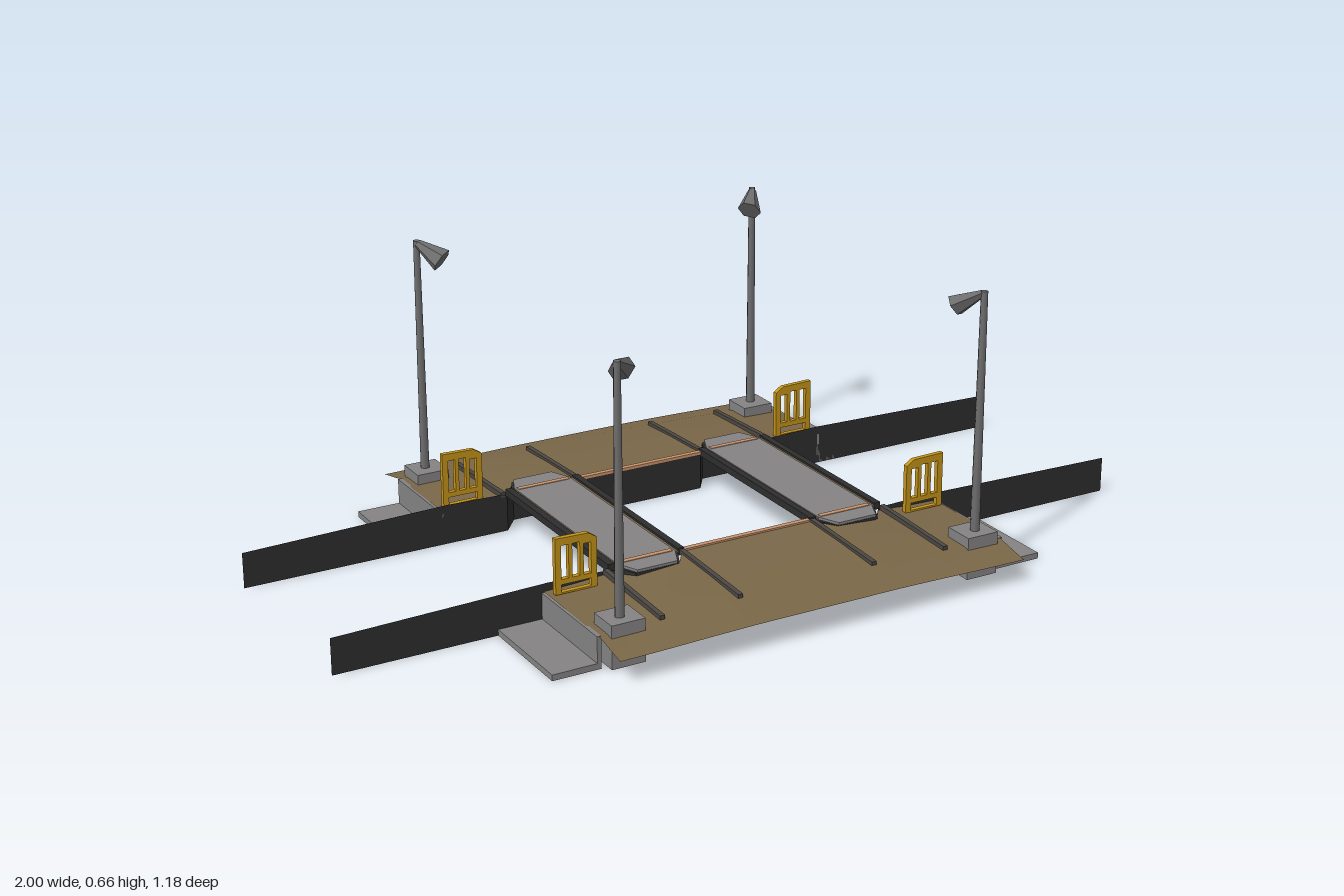
import * as THREE from 'three';

const mat = (name, color, extra = {}) => {
  const m = new THREE.MeshStandardMaterial({ color, ...extra });
  m.name = name;
  return m;
};
const both = { side: THREE.DoubleSide };

export function createModel() {
  const model = new THREE.Group();
  model.name = 'canalCrossing';
  const earth = mat('earth brown', 0x7a6748, both);
  const concrete = mat('concrete grey', 0x858383);
  const dark = mat('dark stone', 0x2e2e2e, both);
  const rail = mat('rail grey', 0x4c4843);
  const metal = mat('lamp grey', 0x6e6e6e);
  const yellow = mat('gate yellow', 0xc4931a);
  const edge = mat('edge orange', 0xc9936c);

  const add = (name, geo, m, parent = model) => {
    const mesh = new THREE.Mesh(geo, m);
    mesh.name = name;
    parent.add(mesh);
    return mesh;
  };
  // box given by its lower and upper corners
  const box = (name, m, a, b, parent) => {
    const lo = a.map((v, i) => Math.min(v, b[i])), hi = a.map((v, i) => Math.max(v, b[i]));
    const mesh = add(name, new THREE.BoxGeometry(...hi.map((v, i) => v - lo[i])), m, parent);
    mesh.position.set(...hi.map((v, i) => (v + lo[i]) / 2));
    return mesh;
  };

  // ground height: highest at the canal edge and midline, falling outwards
  const rows = [0.25, 0.38, 0.5, 0.59];
  const middle = [0.096, 0.091, 0.083, 0.061];
  const sides = [0.077, 0.076, 0.074, 0.055];
  const groundY = (x, row) => {
    const t = THREE.MathUtils.smoothstep(Math.abs(x), 0.15, 0.51);
    return middle[row] + (sides[row] - middle[row]) * t;
  };

  // surface from equal-length rows of points
  const sheet = (lines) => {
    const n = lines[0].length, idx = [];
    for (let r = 0; r < lines.length - 1; r++)
      for (let c = 0; c < n - 1; c++) {
        const a = r * n + c, b = a + n;
        idx.push(a, b, a + 1, a + 1, b, b + 1);
      }
    const g = new THREE.BufferGeometry();
    g.setAttribute('position', new THREE.Float32BufferAttribute(lines.flat(2), 3));
    g.setIndex(idx);
    g.computeVertexNormals();
    return g;
  };

  // half of the canal wall line, with a tapered recess behind each bridge end
  const halfWall = [[0.17, 0.25], [0.205, 0.3], [0.31, 0.3], [0.35, 0.25], [0.5, 0.25], [1, 0.25]];
  const wallLine = [...halfWall.map(([x, z]) => [-x, z]).reverse(), ...halfWall];
  const wallTop = (x) => (Math.abs(x) <= 0.35 ? 0.092 : Math.abs(x) < 0.9 ? 0.096 : 0.085);

  for (const sz of [1, -1]) {
    // banks, notched round the bridge ends
    const xs = [-0.51, -0.43, -0.35, -0.31, -0.205, -0.17, -0.08, 0, 0.08, 0.17, 0.205, 0.31, 0.35, 0.43, 0.51];
    const inner = (x) => (Math.abs(x) > 0.2 && Math.abs(x) < 0.32 ? 0.3 : 0.25);
    add('bank', sheet(rows.map((z, r) =>
      xs.map((x) => [x, groundY(x, r), sz * (r ? z : inner(x))]))), earth);

    // folded ground under the middle of each bank
    add('bankFold', sheet([[-0.08, 0.08], [0, 0.055], [0.08, 0.08]].map(([x, y]) =>
      [[x, y, sz * 0.3], [x, y - 0.004, sz * 0.47]])).toNonIndexed(), earth)
      .geometry.computeVertexNormals();

    const wall = sheet([
      wallLine.map(([x, z]) => [x, 0, sz * z]),
      wallLine.map(([x, z]) => [x, wallTop(x), sz * z]),
    ]).toNonIndexed();
    wall.computeVertexNormals();
    add('canalWall', wall, dark);

    box('edgeStrip', edge, [-0.17, 0.092, sz * 0.237], [0.17, 0.1, sz * 0.25]);

    for (const sx of [1, -1]) {
      // retaining wall and low landing
      box('retainingWall', concrete, [sx * 0.505, 0, sz * 0.25], [sx * 0.515, 0.075, sz * 0.5]);
      box('landing', concrete, [sx * 0.515, 0, sz * 0.25], [sx * 0.62, 0.014, sz * 0.5]);

      // rails leading from the bridge across the bank
      for (const [x, y] of [[0.17, 0.091], [0.36, 0.086]]) {
        const r = box('bankRail', rail, [sx * x - 0.006, y - 0.006, sz * 0.25],
          [sx * x + 0.006, y + 0.006, sz * 0.5]);
        r.rotation.x = sz * 0.04;
      }
      addLamp(sx, sz);
      addGate(sx, sz);
    }
  }

  function addLamp(sx, sz) {
    const lamp = new THREE.Group();
    lamp.name = 'lamp';
    model.add(lamp);
    box('lampBase', concrete, [sx * 0.41, 0, sz * 0.44], [sx * 0.49, 0.1, sz * 0.517], lamp);
    const post = add('lampPost', new THREE.CylinderGeometry(0.008, 0.011, 0.56, 8), metal, lamp);
    post.position.set(sx * 0.452, 0.38, sz * 0.482);
    // flared head tilted down towards the middle
    const head = add('lampHead', new THREE.CylinderGeometry(0.01, 0.03, 0.07, 6).toNonIndexed(), metal, lamp);
    head.geometry.computeVertexNormals();
    head.scale.z = 0.8;
    head.position.set(sx * 0.432, 0.637, sz * 0.454);
    const back = new THREE.Vector3(sx * 0.55, 0.5, sz * 0.7).normalize();
    head.quaternion.setFromUnitVectors(new THREE.Vector3(0, 1, 0), back);
  }

  function addGate(sx, sz) {
    // barred panel with a rounded shoulder
    const s = new THREE.Shape();
    s.moveTo(-0.05, 0);
    s.lineTo(0.05, 0);
    s.lineTo(0.05, 0.115);
    s.lineTo(0.03, 0.128);
    s.lineTo(-0.05, 0.13);
    s.closePath();
    const hole = (x0, x1, y0, y1) => {
      const p = new THREE.Path();
      p.moveTo(x0, y0);
      p.lineTo(x0, y1);
      p.lineTo(x1, y1);
      p.lineTo(x1, y0);
      p.closePath();
      s.holes.push(p);
    };
    hole(-0.036, -0.018, 0.034, 0.112);
    hole(-0.009, 0.009, 0.034, 0.112);
    hole(0.018, 0.036, 0.034, 0.106);
    hole(-0.036, 0.036, 0.004, 0.022);
    const g = new THREE.ExtrudeGeometry(s, { depth: 0.012, bevelEnabled: false });
    g.translate(0, 0, -0.006);
    const gate = add('gate', g, yellow);
    gate.position.set(sx * 0.45, 0.08, sz * 0.281);
    if (sx > 0) gate.rotation.y = Math.PI;
  }

  // two bridges over the canal
  for (const sx of [1, -1]) {
    const bridge = new THREE.Group();
    bridge.name = 'bridge';
    bridge.position.x = sx * 0.259;
    model.add(bridge);
    const plan = [[-0.072, -0.25], [-0.05, -0.3], [0.05, -0.3], [0.072, -0.25],
      [0.072, 0.25], [0.05, 0.3], [-0.05, 0.3], [-0.072, 0.25]];
    const deck = new THREE.ExtrudeGeometry(
      new THREE.Shape(plan.map(([x, z]) => new THREE.Vector2(x, z))),
      { depth: 0.006, bevelEnabled: false });
    deck.rotateX(-Math.PI / 2);
    add('bridgeDeck', deck, concrete, bridge).position.y = 0.096;
    const under = deck.clone();
    under.scale(1.1, 1, 1);
    add('bridgeUnderside', under, dark, bridge).position.y = 0.0895;
    for (const s of [1, -1]) {
      box('bridgeBeam', dark, [s * 0.079, 0.088, -0.25], [s * 0.095, 0.105, 0.25], bridge);
      box('bridgeKerb', earth, [s * 0.072, 0.09, -0.25], [s * 0.079, 0.1, 0.25], bridge);
      box('bridgeEdgeStrip', edge, [-0.066, 0.1015, s * 0.237], [0.066, 0.1035, s * 0.25], bridge);
    }
  }
  return model;
}
